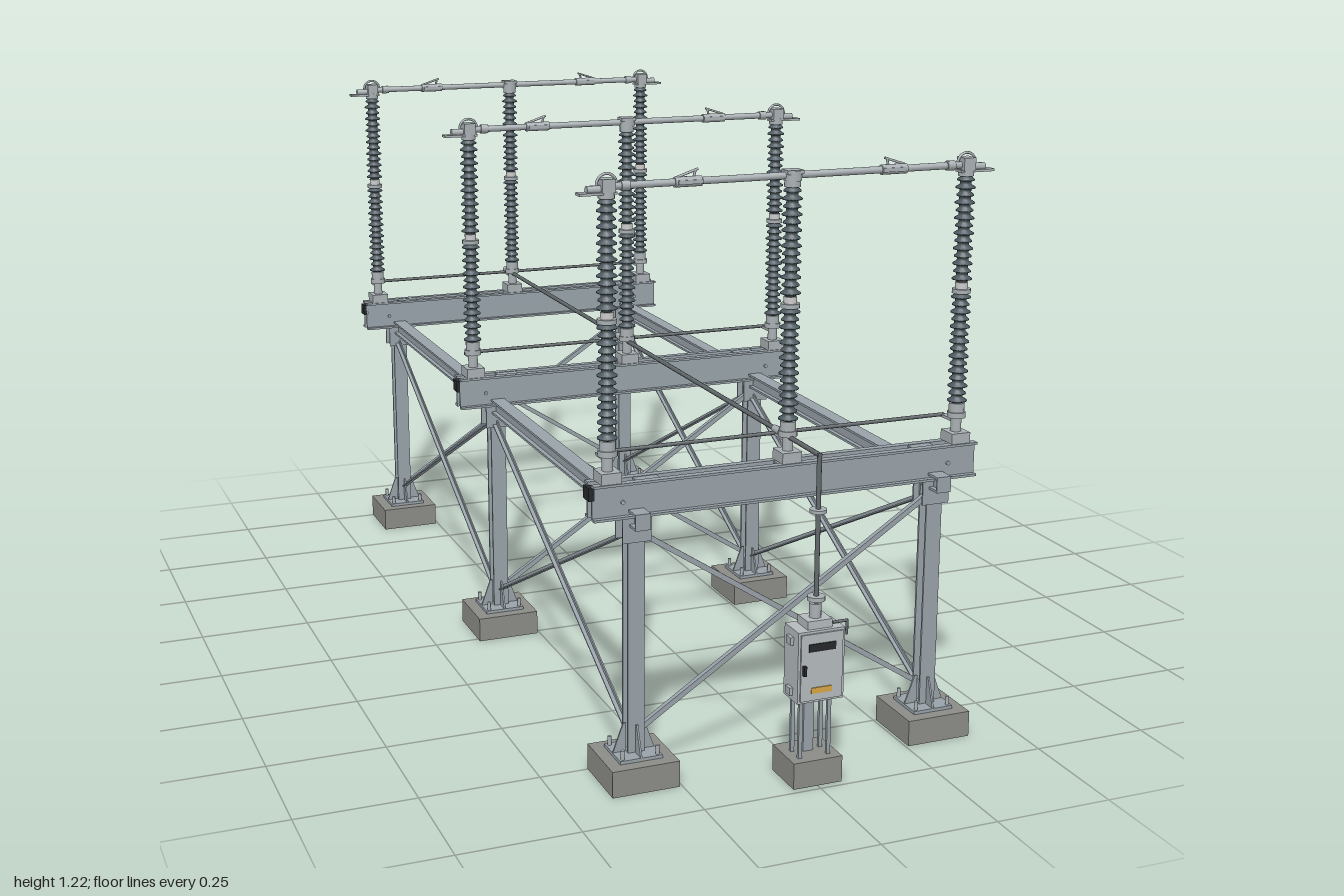
import * as THREE from 'three';

const mat = (color, side = THREE.FrontSide) => new THREE.MeshStandardMaterial({ color, side });
const STEEL = mat(0x98a2a9), METAL = mat(0xa9b0b3), ROD = mat(0x62686b), CONCRETE = mat(0x8b8b87);
const PORCELAIN = mat(0x4d5a61), CABINET = mat(0xb4babd), DARK = mat(0x25282a), YELLOW = mat(0xd6a545), WHITE = mat(0xe6e8e8);

const ROWS = [0.82, -0.056, -0.932];
const COLUMN_X = 0.327, POLE_X = 0.38;

function add(parent, name, geometry, material, x = 0, y = 0, z = 0) {
  const mesh = new THREE.Mesh(geometry, material);
  mesh.name = name;
  mesh.position.set(x, y, z);
  parent.add(mesh);
  return mesh;
}
const box = (p, name, m, w, h, d, x, y, z) => add(p, name, new THREE.BoxGeometry(w, h, d), m, x, y, z);
const cyl = (p, name, m, r, h, x, y, z, r2 = r) => add(p, name, new THREE.CylinderGeometry(r2, r, h, 16), m, x, y, z);

// Round or square bar between two points
function bar(p, name, m, a, b, r, sides = 10) {
  const A = new THREE.Vector3(...a), B = new THREE.Vector3(...b), dir = B.clone().sub(A);
  const mesh = add(p, name, new THREE.CylinderGeometry(r, r, dir.length(), sides), m);
  mesh.position.copy(A).add(B).multiplyScalar(0.5);
  mesh.quaternion.setFromUnitVectors(new THREE.Vector3(0, 1, 0), dir.normalize());
  return mesh;
}

// Thin L-shaped brace between two points; `out` is the face direction
function brace(p, a, b, out) {
  const A = new THREE.Vector3(...a), B = new THREE.Vector3(...b);
  const g = new THREE.Group(), y = B.clone().sub(A), len = y.length();
  y.normalize();
  const z = new THREE.Vector3(...out), x = new THREE.Vector3().crossVectors(y, z);
  g.name = 'crossBrace';
  g.quaternion.setFromRotationMatrix(new THREE.Matrix4().makeBasis(x, y, z));
  g.position.copy(A).add(B).multiplyScalar(0.5);
  box(g, 'braceFace', STEEL, 0.011, len, 0.003, 0, 0, 0);
  box(g, 'braceLip', STEEL, 0.003, len, 0.01, 0.004, 0, -0.005);
  p.add(g);
}

// Post insulator profile with repeated sheds
function shedGeometry(height, sheds) {
  const pts = [new THREE.Vector2(0, 0), new THREE.Vector2(0.011, 0)], step = height / sheds;
  for (let i = 0; i < sheds; i++) {
    const y = i * step, r = i % 2 ? 0.0175 : 0.02;
    pts.push(new THREE.Vector2(0.0115, y + step * 0.2), new THREE.Vector2(r, y + step * 0.35),
      new THREE.Vector2(r, y + step * 0.5), new THREE.Vector2(0.0115, y + step * 0.85));
  }
  pts.push(new THREE.Vector2(0.011, height), new THREE.Vector2(0, height));
  return new THREE.LatheGeometry(pts, 18);
}
const LOWER = shedGeometry(0.23, 15), UPPER = shedGeometry(0.215, 14);

function insulator(p, x) {
  const g = new THREE.Group();
  g.name = 'postInsulator';
  g.position.x = x;
  box(g, 'bearingPlate', METAL, 0.042, 0.022, 0.046, 0, 0.636, 0);
  cyl(g, 'bearing', METAL, 0.011, 0.035, 0, 0.66, 0);
  cyl(g, 'bottomFlange', METAL, 0.019, 0.012, 0, 0.682, 0);
  cyl(g, 'bottomCap', METAL, 0.016, 0.02, 0, 0.697, 0);
  add(g, 'lowerSheds', LOWER, PORCELAIN, 0, 0.705, 0);
  cyl(g, 'middleFlange', METAL, 0.019, 0.009, 0, 0.939, 0);
  cyl(g, 'middleNeck', WHITE, 0.013, 0.014, 0, 0.95, 0);
  add(g, 'upperSheds', UPPER, PORCELAIN, 0, 0.957, 0);
  cyl(g, 'topCap', METAL, 0.016, 0.014, 0, 1.178, 0);
  box(g, 'crankLever', METAL, 0.012, 0.006, 0.055, 0, 0.667, -0.024);
  p.add(g);
}

// Column: H-section with footing, base plate, stiffeners and head plates
function column(p, x) {
  const g = new THREE.Group();
  g.name = 'column';
  g.position.x = x;
  box(g, 'footing', CONCRETE, 0.142, 0.055, 0.142, 0, 0.0275, 0);
  box(g, 'basePlate', STEEL, 0.09, 0.007, 0.09, 0, 0.0585, 0);
  for (const s of [1, -1]) {
    box(g, 'columnFlange', STEEL, 0.035, 0.49, 0.005, 0, 0.308, s * 0.014);
    box(g, 'headPlate', STEEL, 0.06, 0.05, 0.004, 0, 0.527, s * 0.019);
    for (const t of [1, -1]) cyl(g, 'anchorBolt', METAL, 0.004, 0.022, s * 0.037, 0.07, t * 0.037);
  }
  box(g, 'columnWeb', STEEL, 0.006, 0.49, 0.026, 0, 0.308, 0);
  const tri = new THREE.Shape([[0, 0], [0.028, 0], [0.006, 0.06], [0, 0.06]].map(q => new THREE.Vector2(...q)));
  const gusset = new THREE.ExtrudeGeometry(tri, { depth: 0.004, bevelEnabled: false }).translate(0.016, 0.062, -0.002);
  for (let i = 0; i < 4; i++) add(g, 'baseStiffener', gusset, STEEL).rotation.y = i * Math.PI / 2;
  p.add(g);
}

// One switch row: columns, twin-channel beam, three poles and the top contact bar
function row(z) {
  const g = new THREE.Group();
  g.name = 'switchRow';
  g.position.z = z;
  for (const s of [1, -1]) {
    column(g, s * COLUMN_X);
    box(g, 'beamWeb', STEEL, 0.834, 0.072, 0.005, 0, 0.589, s * 0.0125);
    for (const y of [0.5555, 0.6225]) box(g, 'beamFlange', STEEL, 0.834, 0.005, 0.016, 0, y, s * 0.018);
    for (const x of [-0.355, 0.355]) cyl(g, 'beamBolt', METAL, 0.004, 0.008, x, 0.585, s * 0.016).rotation.x = Math.PI / 2;
    brace(g, [-s * 0.315, 0.515, -s * 0.004], [s * 0.315, 0.105, -s * 0.004], [0, 0, 1]);
  }
  for (const x of [-0.3, 0, 0.3]) for (const y of [0.556, 0.622])
    box(g, 'beamTiePlate', STEEL, 0.05, 0.004, 0.03, x, y, 0);
  box(g, 'beamEndBearing', DARK, 0.012, 0.026, 0.03, -0.418, 0.606, 0);

  for (const x of [-POLE_X, 0, POLE_X]) insulator(g, x);
  bar(g, 'poleLinkRod', ROD, [-POLE_X, 0.669, -0.05], [POLE_X, 0.669, -0.05], 0.004);

  bar(g, 'contactBar', METAL, [-0.37, 1.193, 0], [0.37, 1.193, 0], 0.007, 14);
  cyl(g, 'centreClamp', METAL, 0.018, 0.02, 0, 1.193, 0);
  box(g, 'centreClampTop', METAL, 0.034, 0.008, 0.03, 0, 1.2, 0);
  for (const s of [1, -1]) {
    add(g, 'arcRing', new THREE.TorusGeometry(0.02, 0.0028, 8, 28), METAL, s * POLE_X, 1.197, 0);
    box(g, 'contactHousing', METAL, 0.026, 0.026, 0.03, s * POLE_X, 1.195, 0);
    box(g, 'terminalPad', METAL, 0.075, 0.005, 0.024, s * 0.4, 1.181, 0);
    bar(g, 'terminalStud', METAL, [s * 0.38, 1.188, 0], [s * 0.42, 1.188, 0], 0.008);
    bar(g, 'contactSleeve', METAL, [s * 0.19, 1.193, 0], [s * 0.245, 1.193, 0], 0.01, 14);
    bar(g, 'arcHorn', METAL, [s * 0.243, 1.201, 0], [s * 0.197, 1.216, 0], 0.0025);
    bar(g, 'arcHornPost', METAL, [s * 0.207, 1.195, 0], [s * 0.202, 1.214, 0], 0.0025);
    box(g, 'contactFinger', METAL, 0.05, 0.008, 0.022, s * 0.215, 1.193, 0);
    bar(g, 'barCollar', METAL, [s * 0.335, 1.193, 0], [s * 0.352, 1.193, 0], 0.01);
  }
  // Joint between the long drive rod and this row
  bar(g, 'driveJoint', METAL, [0, 0.675, -0.06], [0, 0.675, -0.03], 0.008);
  return g;
}

// Drive cabinet with its own footing, legs and crank
function driveCabinet() {
  const g = new THREE.Group(), z = 0.957;
  g.name = 'driveCabinet';
  box(g, 'cabinetFooting', CONCRETE, 0.106, 0.055, 0.098, 0, 0.0275, 0.937);
  for (const s of [1, -1]) for (const dz of [0.007, -0.028])
    box(g, 'cabinetLeg', STEEL, 0.008, 0.13, 0.007, s * 0.031, 0.118, z + dz);
  box(g, 'cablePipe', STEEL, 0.022, 0.13, 0.016, 0, 0.118, 0.932);
  box(g, 'cabinetBody', CABINET, 0.1, 0.148, 0.062, 0, 0.255, z);
  box(g, 'cabinetDoor', CABINET, 0.09, 0.138, 0.005, 0, 0.255, 0.989);
  box(g, 'cabinetRoof', CABINET, 0.053, 0.018, 0.045, 0, 0.337, z);
  box(g, 'window', DARK, 0.058, 0.016, 0.003, 0, 0.296, 0.992);
  box(g, 'warningPlate', YELLOW, 0.044, 0.012, 0.003, 0, 0.207, 0.992);
  box(g, 'doorHandle', DARK, 0.006, 0.02, 0.008, -0.039, 0.252, 0.996);
  for (const s of [1, -1]) for (const y of [0.305, 0.2])
    box(g, 'sideLug', METAL, 0.008, 0.016, 0.02, s * 0.053, y, z);
  bar(g, 'crankArm', ROD, [0.035, 0.332, 0.965], [0.066, 0.332, 0.965], 0.003);
  bar(g, 'crankHandle', ROD, [0.066, 0.334, 0.965], [0.066, 0.303, 0.965], 0.003);
  cyl(g, 'outputShaft', METAL, 0.012, 0.03, 0, 0.36, z);
  return g;
}

export function createModel() {
  const model = new THREE.Group();
  model.name = 'disconnectSwitch';
  for (const z of ROWS) model.add(row(z));

  // Long side beams and side bracing
  for (const s of [1, -1]) {
    const x = s * COLUMN_X;
    for (const y of [0.538, 0.566]) box(model, 'sideBeamFlange', STEEL, 0.032, 0.005, 1.84, x, y, -0.048);
    box(model, 'sideBeamWeb', STEEL, 0.012, 0.028, 1.84, x, 0.552, -0.048);
    for (const z of [0.871, -0.967]) box(model, 'sideBeamEnd', STEEL, 0.032, 0.033, 0.003, x, 0.552, z);
    for (let i = 0; i < 2; i++) {
      const a = ROWS[i] - 0.015, b = ROWS[i + 1] + 0.015;
      brace(model, [x + 0.004, 0.515, a], [x + 0.004, 0.105, b], [1, 0, 0]);
      brace(model, [x - 0.004, 0.105, a], [x - 0.004, 0.515, b], [1, 0, 0]);
    }
  }

  // Drive rod from the cabinet up and along all rows
  model.add(driveCabinet());
  bar(model, 'verticalDriveRod', ROD, [0, 0.36, 0.96], [0, 0.678, 0.96], 0.005);
  bar(model, 'longDriveRod', ROD, [0, 0.675, 0.963], [0, 0.675, -0.985], 0.005);
  cyl(model, 'lowerCoupling', METAL, 0.018, 0.009, 0, 0.386, 0.96);
  cyl(model, 'upperCoupling', METAL, 0.017, 0.007, 0, 0.564, 0.96);
  return model;
}
